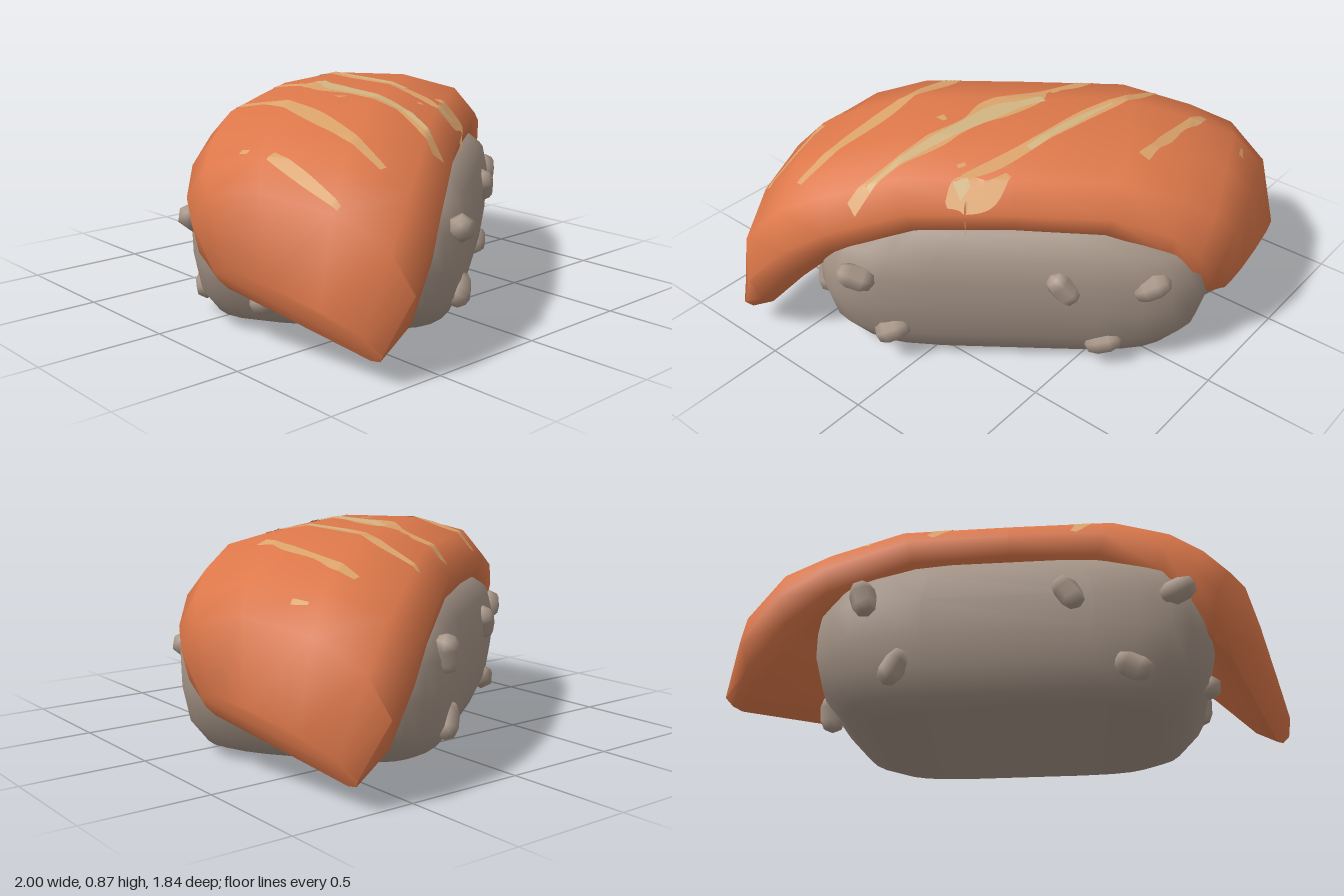
import * as THREE from 'three';
import { toCreasedNormals } from 'three/addons/utils/BufferGeometryUtils.js';

// u runs along the piece, v across it; the piece lies diagonally on the ground
const at = (u, y, v) => [0.6 * u + 0.8 * v, y, 0.8 * u - 0.6 * v];

// Skin a list of closed rings and cap both ends
function loft(rings, flip, crease) {
  const n = rings[0].length, last = (rings.length - 1) * n, idx = [];
  const tri = (a, b, c) => (flip ? idx.push(a, c, b) : idx.push(a, b, c));
  for (let i = 0; i < rings.length - 1; i++)
    for (let k = 0; k < n; k++) {
      const a = i * n + k, c = i * n + ((k + 1) % n);
      tri(a, a + n, c);
      tri(c, a + n, c + n);
    }
  for (let k = 0; k < n / 2 - 1; k++) {
    const p = n - 1 - k;
    tri(k, k + 1, p);
    tri(k + 1, p - 1, p);
    tri(last + k, last + p, last + k + 1);
    tri(last + k + 1, last + p, last + p - 1);
  }
  const g = new THREE.BufferGeometry();
  g.setAttribute('position', new THREE.Float32BufferAttribute(rings.flat(2), 3));
  g.setIndex(idx);
  return toCreasedNormals(g, crease);
}

// Draped slice: half the stations, the other half is the same turned by 180 degrees
function sliceGeometry() {
  const half = [
    // u, y, inward du, inward dy, shear, drop, width
    [0, 0.86, 0, -0.27, 0, 0, 1],
    [0.45, 0.86, -0.09, -0.285, 0.03, 0, 1],
    [0.71, 0.785, -0.05, -0.315, 0.12, -0.03, 1],
    [0.88, 0.715, -0.1, -0.375, 0.2, -0.03, 0.98],
    [1.01, 0.59, -0.1, -0.38, 0.3, -0.16, 0.88],
    [1.065, 0.27, -0.08, -0.12, 0.4, -0.26, 0.68],
  ];
  const left = [[-0.42, 1], [-0.475, 0.85], [-0.495, 0.55], [-0.4, 0.19], [-0.16, 0]];
  const profile = [...left, ...left.map(([v, d]) => [-v, d]).reverse()];
  const rings = [];
  for (let j = -5; j <= 5; j++) {
    const [u, y, du, dy, shear, drop, w] = half[Math.abs(j)], s = j < 0 ? -1 : 1;
    rings.push(profile.map(([pv, d]) => {
      const v = pv * w * s;
      return at(s * (u + du * d + shear * v), y + dy * d + drop * v, s * v - 0.012);
    }));
  }
  return loft(rings, false, 1.1);
}

// Rounded rice block
function riceGeometry() {
  const levels = [ // y, half length, half width
    [0, 0.59, 0.42], [0.04, 0.69, 0.48], [0.14, 0.78, 0.525], [0.28, 0.815, 0.545],
    [0.42, 0.815, 0.55], [0.53, 0.75, 0.53], [0.61, 0.57, 0.47], [0.65, 0.4, 0.36],
  ];
  const n = 28, pow = (c) => Math.sign(c) * Math.abs(c) ** 0.4;
  return loft(levels.map(([y, L, W]) => Array.from({ length: n }, (_, k) => {
    const a = ((k + 0.5) / n) * Math.PI * 2;
    return at(L * pow(Math.cos(a)), y, W * pow(Math.sin(a)));
  })), true, 1.2);
}

// Thin ribbon laid on the slice; points are x, z, width
function ribbonGeometry(points, slice, lift) {
  const curve = new THREE.CatmullRomCurve3(points.map(([x, z, w]) => new THREE.Vector3(x, w, z)));
  const steps = 14 * (points.length - 1), across = 6, pos = [], idx = [];
  const ray = new THREE.Raycaster(), down = new THREE.Vector3(0, -1, 0);
  for (let i = 0; i <= steps; i++) {
    const p = curve.getPoint(i / steps), t = curve.getTangent(i / steps).setY(0).normalize();
    for (let k = 0; k <= across; k++) {
      const o = (k / across - 0.5) * p.y, x = p.x - t.z * o, z = p.z + t.x * o;
      ray.set(new THREE.Vector3(x, 2, z), down);
      const hit = ray.intersectObject(slice)[0];
      pos.push(x, (hit ? hit.point.y : 0.6) + lift, z);
      if (i < steps && k < across) {
        const a = i * (across + 1) + k, b = a + across + 1;
        idx.push(a, a + 1, b, a + 1, b + 1, b);
      }
    }
  }
  const g = new THREE.BufferGeometry();
  g.setAttribute('position', new THREE.Float32BufferAttribute(pos, 3));
  g.setIndex(idx);
  g.computeVertexNormals();
  // keep the ribbon facing up
  if (g.attributes.normal.getY(0) < 0) {
    g.setIndex(idx.reverse());
    g.computeVertexNormals();
  }
  return g;
}

export function createModel() {
  const group = new THREE.Group();
  const mat = (name, color, side = THREE.FrontSide) =>
    Object.assign(new THREE.MeshStandardMaterial({ color, side }), { name });
  const salmon = mat('salmon orange', 0xdd784a);
  const riceMat = mat('rice grey', 0xa59487);
  const grainMat = mat('grain grey', 0xa99789);
  const stripe = mat('stripe tan', 0xdba36c, THREE.DoubleSide);
  const pale = mat('stripe pale', 0xd2b583, THREE.DoubleSide);
  const add = (name, geo, m) => {
    const mesh = new THREE.Mesh(geo, m);
    mesh.name = name;
    group.add(mesh);
    return mesh;
  };

  add('riceBlock', riceGeometry(), riceMat);
  const slice = add('fishSlice', sliceGeometry(), salmon);
  slice.updateMatrixWorld(true);

  // Fat stripes
  const stripes = [
    [[-0.66, -0.69, 0.01], [-0.6, -0.72, 0.02]],
    [[-0.67, -0.485, 0.03], [-0.58, -0.5, 0.05], [-0.45, -0.505, 0.035], [-0.3, -0.525, 0.05], [-0.22, -0.53, 0.035], [-0.13, -0.535, 0.05]],
    [[-0.7, -0.22, 0.02], [-0.45, -0.24, 0.05], [-0.2, -0.2, 0.07], [0.1, -0.165, 0.05], [0.3, -0.12, 0.06], [0.42, -0.07, 0.03]],
    [[0.3, -0.2, 0.03], [0.4, -0.18, 0.08], [0.46, -0.1, 0.11], [0.52, -0.07, 0.02]],
    [[-0.57, 0.02, 0.04], [-0.42, 0.03, 0.06], [-0.28, 0.07, 0.03], [-0.17, 0.07, 0.12], [0, 0.12, 0.16], [0.15, 0.13, 0.08], [0.33, 0.15, 0.09], [0.5, 0.185, 0.05], [0.73, 0.24, 0.05]],
    [[-0.23, 0.5, 0.03], [-0.1, 0.485, 0.07], [0.1, 0.485, 0.05], [0.3, 0.485, 0.08], [0.55, 0.51, 0.05], [0.74, 0.53, 0.03]],
    [[0.4, 0.76, 0.04], [0.55, 0.75, 0.04], [0.74, 0.735, 0.02]],
    [[0.25, 0.78, 0.02], [0.29, 0.775, 0.02]],
    [[0.19, 0.26, 0.04], [0.2, 0.22, 0.02]],
    [[-0.33, 0.045, 0.03], [-0.28, 0.05, 0.03]],
    [[0.36, -0.03, 0.02], [0.39, -0.015, 0.02]],
  ];
  stripes.forEach((p) => add('fatStripe', ribbonGeometry(p, slice, 0.003), stripe));
  const highlights = [
    [[-0.34, -0.23, 0.01], [-0.15, -0.2, 0.035], [0.14, -0.17, 0.03]],
    [[0.42, -0.1, 0.03], [0.47, -0.08, 0.06]],
    [[-0.19, 0.02, 0.05], [-0.1, 0.06, 0.05], [0, 0.1, 0.09], [0.25, 0.135, 0.06], [0.5, 0.18, 0.03], [0.66, 0.21, 0.02]],
  ];
  highlights.forEach((p) => add('fatHighlight', ribbonGeometry(p, slice, 0.006), pale));

  // Loose grains: u, y, v, tilt
  const grainGeo = new THREE.CapsuleGeometry(0.053, 0.055, 2, 6);
  const grains = [
    [0.24, 0.42, -0.54, 0.6], [0.66, 0.43, -0.5, -1.1], [0.48, 0.12, -0.5, 1.1],
    [-0.44, 0.15, -0.51, -0.5], [-0.57, 0.44, -0.53, 0.3],
    [0.62, 0.43, 0.53, 1.2], [-0.2, 0.41, 0.54, 0.7], [0.49, 0.15, 0.51, -1.1],
    [-0.37, 0.11, 0.5, -1.3], [-0.55, 0.41, 0.52, -1.1],
    [0.78, 0.16, -0.17, -1.1], [0.78, 0.25, 0.28, 0.4],
    [-0.79, 0.28, 0.3, 0.5], [-0.78, 0.13, -0.1, -0.2],
  ];
  for (const [u, y, v, tilt] of grains) {
    const grain = add('riceGrain', grainGeo, grainMat);
    grain.position.set(...at(u, y, v));
    const out = Math.abs(v) > 0.4 ? at(0, 0, Math.sign(v)) : at(Math.sign(u), 0, 0);
    grain.rotation.set(0, Math.atan2(out[0], out[2]), tilt, 'YXZ');
  }
  return group;
}
